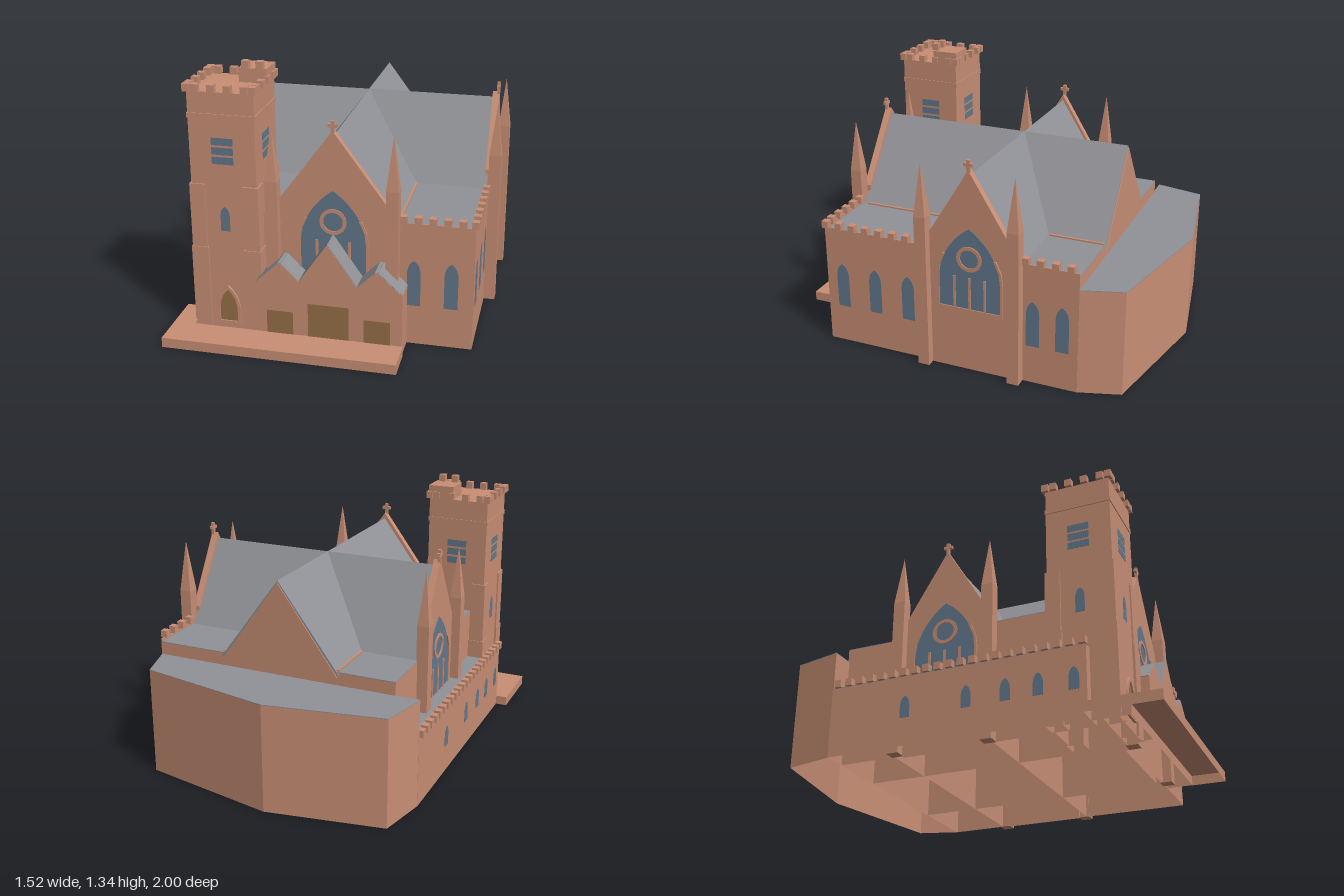
import * as THREE from 'three';

const mat = (name, color, side = THREE.FrontSide) => {
  const m = new THREE.MeshStandardMaterial({ color, side });
  m.name = name;
  return m;
};

export function createModel() {
  const root = new THREE.Group();
  root.name = 'church';
  const stone = mat('stone', 0xc98f75, THREE.DoubleSide);
  const slate = mat('slate', 0x919297, THREE.DoubleSide);
  const glass = mat('glass', 0x64798d);
  const wood = mat('wood', 0x987148);

  const add = (parent, name, geo, material) => {
    const m = new THREE.Mesh(geo, material);
    m.name = name;
    parent.add(m);
    return m;
  };
  // box given by its limits
  const box = (x0, x1, y0, y1, z0, z1) =>
    new THREE.BoxGeometry(x1 - x0, y1 - y0, z1 - z0).translate((x0 + x1) / 2, (y0 + y1) / 2, (z0 + z1) / 2);
  // remove the faces lying on the ground, leaving a hollow shell
  const hollow = (geo) => {
    const p = (geo.index ? geo.toNonIndexed() : geo).attributes.position;
    const out = [];
    for (let i = 0; i < p.count; i += 3) {
      if (Math.max(p.getY(i), p.getY(i + 1), p.getY(i + 2)) < 1e-4) continue;
      for (let k = i; k < i + 3; k++) out.push(p.getX(k), p.getY(k), p.getZ(k));
    }
    const g = new THREE.BufferGeometry();
    g.setAttribute('position', new THREE.Float32BufferAttribute(out, 3));
    g.computeVertexNormals();
    return g;
  };
  const poly = (pts) => new THREE.Shape(pts.map(([x, y]) => new THREE.Vector2(x, y)));
  const extrude = (shape, depth, z = 0) =>
    new THREE.ExtrudeGeometry(shape, { depth, bevelEnabled: false, curveSegments: 10 }).translate(0, 0, z);
  // pointed arch outline; a larger bulge gives rounder shoulders
  const arch = (w, y0, spring, apex, Type = THREE.Shape, bulge = 0.62) => {
    const s = new Type();
    const c = spring + (apex - spring) * bulge;
    const cx = w * (0.59 + bulge / 2);
    s.moveTo(-w, y0).lineTo(w, y0).lineTo(w, spring);
    s.quadraticCurveTo(cx, c, 0, apex).quadraticCurveTo(-cx, c, -w, spring);
    return s.closePath();
  };
  // local frame on a wall: +z points out of the wall
  const wall = (name, x, z, angle) => {
    const g = new THREE.Group();
    g.name = name;
    g.position.set(x, 0, z);
    g.rotation.y = angle;
    root.add(g);
    return g;
  };
  const FRONT = 0, RIGHT = -Math.PI / 2, LEFT = Math.PI / 2, BACK = Math.PI;
  const lancet = (x, z, angle, w, y0, apex) =>
    add(wall('lancetWindow', x, z, angle), 'lancetGlass',
      extrude(arch(w, y0, apex - w * 2.2, apex, THREE.Shape, 0.75), 0.0015), glass);
  const merlons = (x0, z0, x1, z1, n, y) => {
    for (let i = 0; i < n; i++) {
      const t = i / (n - 1);
      const x = x0 + (x1 - x0) * t, z = z0 + (z1 - z0) * t;
      add(root, 'merlon', box(x - 0.017, x + 0.017, y, y + 0.037, z - 0.017, z + 0.017), stone);
    }
  };
  const NX = 0.023, TZ = -0.105;

  // main body, low side aisle and rear apse
  add(root, 'mainWalls', hollow(box(-0.58, 0.7, 0, 0.614, -0.655, 0.7)), stone);
  add(root, 'naveInnerWalls', hollow(box(NX - 0.3, NX + 0.3, 0, 0.61, -0.65, 0.695)), stone);
  add(root, 'transeptInnerWalls', hollow(box(-0.575, 0.695, 0, 0.61, TZ - 0.255, TZ + 0.255)), stone);
  add(root, 'flatRoof', box(-0.58, 0.694, 0.614, 0.618, -0.655, 0.694), slate);
  add(root, 'sideParapet', box(0.694, 0.7, 0.614, 0.632, -0.655, 0.7), stone);
  add(root, 'frontParapet', box(-0.33, 0.694, 0.614, 0.632, 0.694, 0.7), stone);
  add(root, 'aisleWalls', hollow(box(-0.7, -0.58, 0, 0.35, -0.655, 0.65)), stone);
  add(root, 'aisleRoof', box(-0.7, -0.58, 0.35, 0.354, -0.65, 0.645), slate);
  const apse = poly([[-0.7, 0.65], [0.7, 0.65], [0.635, 0.86], [-0.06, 1], [-0.645, 0.9]]);
  add(root, 'apseWalls', hollow(extrude(apse, 0.546).rotateX(-Math.PI / 2)), stone);
  add(root, 'apseRoof', extrude(apse, 0.004, 0.546).rotateX(-Math.PI / 2), slate);

  // crossing roofs, with stone strips along the nave eaves
  const roof = (half) => poly([[-half, 0.598], [half, 0.598], [0, 1.03]]);
  add(root, 'naveRoof', extrude(roof(0.32), 1.345, -0.66).translate(NX, 0, 0), slate);
  add(root, 'rearGable', extrude(roof(0.312), 0.005, -0.665).translate(NX, -0.01, 0), stone);
  add(root, 'transeptRoof', extrude(roof(0.27), 1.26, -0.575).rotateY(Math.PI / 2).translate(0.005, 0, TZ), slate);
  for (const x of [NX - 0.308, NX + 0.308]) for (const [z0, z1] of [[0.16, 0.66], [-0.65, -0.365]])
    add(root, 'eavesStrip', box(x - 0.006, x + 0.006, 0.618, 0.626, z0, z1), stone);

  // gabled ends with great window, pinnacles and cross
  const frameSide = [[0.173, 0.325], [0.173, 0.5], [0.166, 0.56], [0.14, 0.62],
    [0.127, 0.62], [0.153, 0.56], [0.16, 0.5], [0.16, 0.34]];
  const frame = poly([...frameSide, ...frameSide.map(([x, y]) => [-x, y]).reverse()]);
  const gableEnd = (name, x, z, angle, half, pin) => {
    const g = wall(name, x, z, angle);
    add(g, 'gableWall', hollow(extrude(poly([[-half, 0], [half, 0], [half, 0.705], [0, 1.06], [-half, 0.705]]), 0.035, -0.035)), stone);
    add(g, 'windowFrame', extrude(frame, 0.008), stone);
    add(g, 'windowGlass', extrude(arch(0.162, 0.338, 0.5, 0.765), 0.003), glass);
    const ring = new THREE.Shape().absarc(0, 0.608, 0.066, 0, Math.PI * 2);
    ring.holes.push(new THREE.Path().absarc(0, 0.608, 0.048, 0, Math.PI * 2));
    add(g, 'roseRing', extrude(ring, 0.008), stone);
    for (const mx of [-0.08, 0, 0.08]) add(g, 'mullion', box(mx - 0.006, mx + 0.006, 0.34, 0.51, 0, 0.008), stone);
    for (const s of [-1, 1]) {
      add(g, 'pinnacleShaft', box(s * pin - 0.03, s * pin + 0.03, 0, 0.8, -0.015, 0.045), stone);
      const spire = new THREE.ConeGeometry(0.03 * Math.SQRT2, 0.265, 4).rotateY(Math.PI / 4);
      add(g, 'pinnacleSpire', hollow(spire.translate(s * pin, 0.9325, 0.015)), stone);
    }
    add(g, 'crossPost', box(-0.008, 0.008, 1.04, 1.11, -0.014, 0.002), stone);
    add(g, 'crossArm', box(-0.023, 0.023, 1.078, 1.094, -0.014, 0.002), stone);
  };
  gableEnd('frontGable', NX, 0.705, FRONT, 0.262, 0.2915);
  gableEnd('leftTransept', 0.711, TZ, LEFT, 0.217, 0.24);
  gableEnd('rightTransept', -0.59, TZ, RIGHT, 0.217, 0.24);

  // side windows
  for (const z of [0.61, 0.425, 0.24, -0.425, -0.575]) lancet(0.7, z, LEFT, 0.034, 0.2, 0.44);
  for (const x of [0.413, 0.593]) lancet(x, 0.7, FRONT, 0.033, 0.205, 0.44);
  for (const z of [-0.25, 0.065, 0.26, 0.42, 0.59]) lancet(-0.7, z, RIGHT, 0.025, 0.14, 0.25);

  // battlements
  merlons(0.698, 0.69, 0.698, 0.24, 7, 0.63);
  merlons(0.698, -0.39, 0.698, -0.615, 4, 0.63);
  merlons(0.36, 0.695, 0.64, 0.695, 5, 0.63);
  merlons(-0.698, -0.62, -0.698, 0.635, 22, 0.352);

  // tower
  const CX = -0.49, CZ = 0.613, R = 0.162;
  add(root, 'towerWalls', hollow(box(CX - R, CX + R, 0, 1.23, CZ - R, CZ + R)), stone);
  const B = R + 0.004;
  add(root, 'towerBand', box(CX - B, CX + B, 1.102, 1.126, CZ - B, CZ + B), stone);
  for (const sx of [-1, 1]) for (const sz of [-1, 1]) {
    for (const [w, h] of [[0.038, 0.775], [0.042, 0.45]]) {
      const x = CX + sx * 0.132, z = CZ + sz * 0.132;
      add(root, 'towerButtress', hollow(box(x - w, x + w, 0, h, z - w, z + w)), stone);
    }
  }
  for (const s of [-1, 1]) {
    merlons(CX - 0.16, CZ + s * 0.16, CX + 0.16, CZ + s * 0.16, 2, 1.23);
    merlons(CX - 0.12, CZ + s * 0.16, CX + 0.12, CZ + s * 0.16, 4, 1.23);
    merlons(CX + s * 0.16, CZ - 0.12, CX + s * 0.16, CZ + 0.12, 4, 1.23);
  }
  add(root, 'stairTurret', box(-0.46, -0.322, 1.23, 1.3, 0.445, 0.585), stone);
  merlons(-0.425, 0.58, -0.355, 0.58, 2, 1.3);
  for (const a of [FRONT, LEFT, BACK, RIGHT]) {
    const g = wall('belfryOpening', CX + Math.sin(a) * R, CZ + Math.cos(a) * R, a);
    for (const y of [0.88, 0.927, 0.974]) add(g, 'louver', box(-0.053, 0.053, y, y + 0.036, 0, 0.0015), glass);
  }
  lancet(CX, CZ + R, FRONT, 0.023, 0.54, 0.665);
  lancet(CX - R, CZ, RIGHT, 0.023, 0.54, 0.665);
  const door = wall('towerDoor', CX, CZ + R, FRONT);
  const surround = arch(0.06, 0.05, 0.13, 0.25);
  surround.holes.push(arch(0.045, 0.06, 0.13, 0.23, THREE.Path));
  add(door, 'doorSurround', extrude(surround, 0.012), stone);
  add(door, 'doorLeaf', extrude(arch(0.046, 0.058, 0.13, 0.231), 0.005), wood);

  // three-gabled porch
  const top = [[-0.33, 0.315], [-0.22, 0.42], [-0.205, 0.42], [-0.118, 0.335], [0.023, 0.54],
    [0.165, 0.335], [0.252, 0.42], [0.268, 0.42], [0.383, 0.315]];
  add(root, 'porchWalls', hollow(extrude(poly([[-0.33, 0], ...top, [0.383, 0]]), 0.13, 0.7)), stone);
  for (let i = 0; i < top.length - 1; i++) {
    const [[x0, y0], [x1, y1]] = [top[i], top[i + 1]];
    const slab = new THREE.BoxGeometry(Math.hypot(x1 - x0, y1 - y0), 0.004, 0.125);
    slab.rotateZ(Math.atan2(y1 - y0, x1 - x0)).translate((x0 + x1) / 2, (y0 + y1) / 2 + 0.001, 0.765);
    add(root, 'porchRoof', slab, slate);
  }
  for (const [x0, x1, h] of [[-0.28, -0.15, 0.17], [-0.075, 0.125, 0.225], [0.198, 0.326, 0.17]])
    add(root, 'porchDoor', box(x0, x1, 0.05, h, 0.83, 0.832), wood);

  // entrance terrace
  const terrace = poly([[-0.76, -1], [0.388, -1], [0.388, -0.83], [-0.655, -0.83], [-0.655, -0.65], [-0.76, -0.65]]);
  add(root, 'terrace', hollow(extrude(terrace, 0.05).rotateX(-Math.PI / 2)), stone);

  return root;
}
